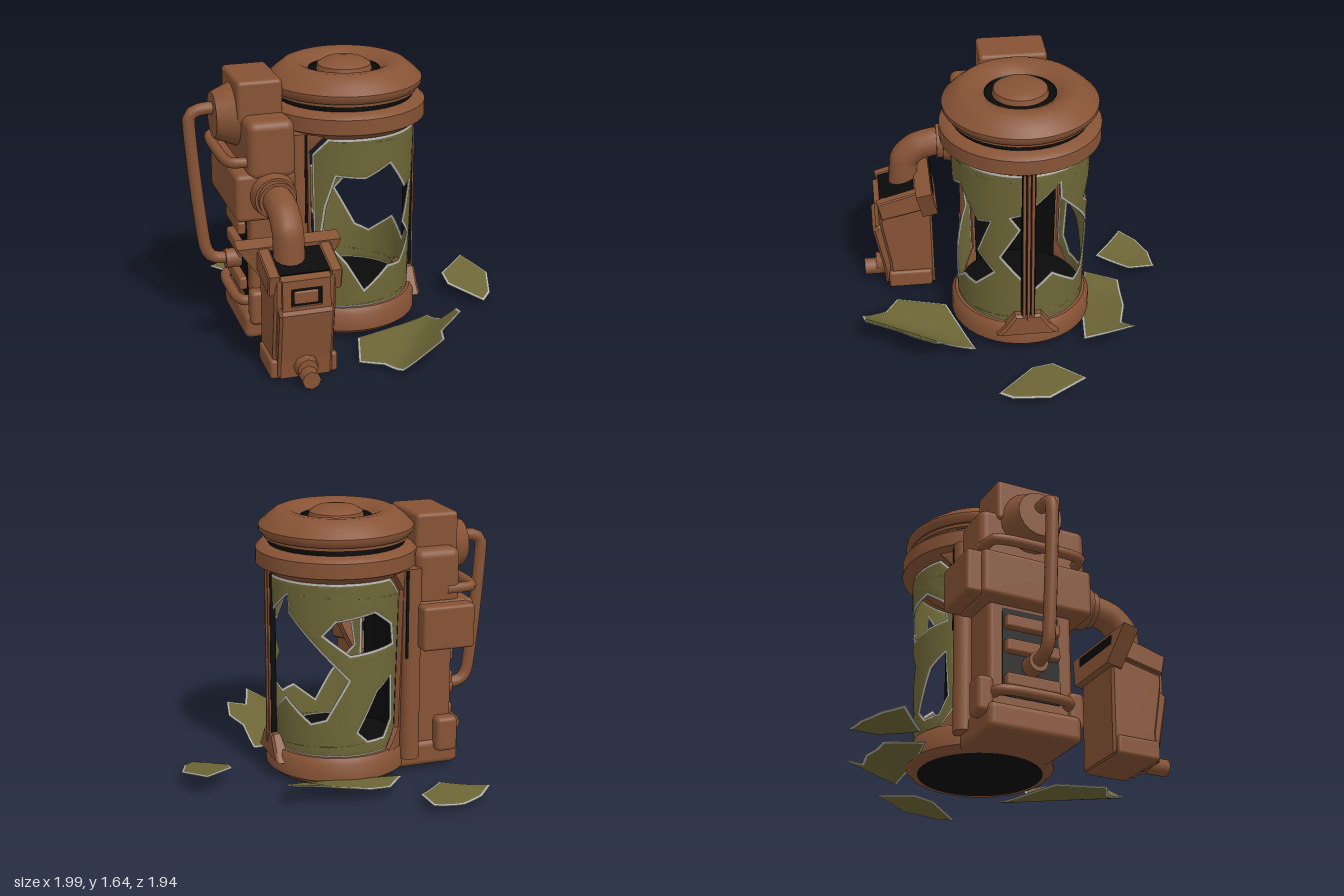
import * as THREE from 'three';
import { toCreasedNormals } from 'three/addons/utils/BufferGeometryUtils.js';
import { RoundedBoxGeometry } from 'three/addons/geometries/RoundedBoxGeometry.js';

const CX = -0.01, CZ = -0.04;      // tank axis
const S = 0.4 * Math.PI / 180;     // arc length of one degree on the tank wall

export function createModel() {
  const model = new THREE.Group();
  model.name = 'brokenTank';
  const mat = (name, color) => {
    const m = new THREE.MeshStandardMaterial({ color });
    m.name = name;
    return m;
  };
  const rust = mat('rust', 0x875335);
  const glass = mat('olive glass', 0x6e6737);
  const edge = mat('pale broken edge', 0xb0b0ae);
  const black = mat('black', 0x0a0a0a);

  const add = (name, geo, material = rust, x = 0, y = 0, z = 0) => {
    const m = new THREE.Mesh(geo, material);
    m.name = name;
    m.position.set(x, y, z);
    model.add(m);
    return m;
  };
  const shapeOf = (pts) => new THREE.Shape(pts.map((p) => new THREE.Vector2(p[0], p[1])));

  // box given by its limits, rounded when r > 0
  const box = (name, x0, x1, y0, y1, z0, z1, r = 0.03, material = rust) => {
    const s = [x1 - x0, y1 - y0, z1 - z0];
    const g = r ? new RoundedBoxGeometry(...s, 3, r) : new THREE.BoxGeometry(...s);
    return add(name, g, material, (x0 + x1) / 2, (y0 + y1) / 2, (z0 + z1) / 2);
  };
  const lathe = (name, pts, material = rust) => add(name,
    toCreasedNormals(new THREE.LatheGeometry(pts.map((p) => new THREE.Vector2(p[0], p[1])), 40).toNonIndexed(), 0.75),
    material, CX, 0, CZ);
  const pipe = (name, pts, r) => add(name, new THREE.TubeGeometry(
    new THREE.CatmullRomCurve3(pts.map((p) => new THREE.Vector3(...p)), false, 'catmullrom', 0.3), 32, r, 14));
  const plug = (name, axis, r0, r1, len, x, y, z, sides = 18) => {
    const m = add(name, new THREE.CylinderGeometry(r0, r1, len, sides), rust, x, y, z);
    if (axis === 'x') m.rotation.z = Math.PI / 2;
    if (axis === 'z') m.rotation.x = Math.PI / 2;
    return m;
  };
  // side profile in (z, y), extruded across x
  const sideExtrude = (name, pts, x0, x1, bevel = 0.015) => {
    const g = new THREE.ExtrudeGeometry(shapeOf(pts), {
      depth: x1 - x0 - 2 * bevel, bevelThickness: bevel, bevelSize: bevel, bevelOffset: -bevel, bevelSegments: 1 });
    g.rotateY(-Math.PI / 2);
    return add(name, g, rust, x1 - bevel, 0, 0);
  };

  // thin sheet with pale bevelled rims, split finely and then bent by a rule
  const sheet = (name, outline, holes, bend, mats, depth = 0.004, rim = 0.013) => {
    const shape = shapeOf(outline);
    shape.holes = holes.map((h) => new THREE.Path(h.map((p) => new THREE.Vector2(p[0], p[1]))));
    const src = new THREE.ExtrudeGeometry(shape, { depth, bevelThickness: 0.004, bevelSize: rim, bevelOffset: -rim, bevelSegments: 1 });
    const p = src.attributes.position, out = [], geo = new THREE.BufferGeometry();
    const split = (a, b, c) => {
      const t = [a, b, c];
      const d = t.map((v, i) => v.distanceTo(t[(i + 1) % 3]));
      const i = d.indexOf(Math.max(...d));
      if (d[i] < 0.06) return t.forEach((v) => out.push(...bend(v.x, v.y, v.z)));
      const [u, v, w] = [t[i], t[(i + 1) % 3], t[(i + 2) % 3]];
      const m = u.clone().add(v).multiplyScalar(0.5);
      split(u, m, w);
      split(m, v, w);
    };
    for (const g of src.groups) {
      const start = out.length / 3;
      for (let i = g.start; i < g.start + g.count; i += 3)
        split(...[0, 1, 2].map((k) => new THREE.Vector3().fromBufferAttribute(p, i + k)));
      geo.addGroup(start, out.length / 3 - start, g.materialIndex);
    }
    geo.setAttribute('position', new THREE.Float32BufferAttribute(out, 3));
    return add(name, toCreasedNormals(geo, 0.4), mats);
  };

  // Tank wall: outlines in [degrees from the front towards +x, height]
  const deg = (pts) => pts.map(([a, y]) => [a * S, y]);
  const wrap = (s, y, w) => {
    const a = s / 0.4, r = 0.38 + 0.026 * y + w;
    return [CX + r * Math.sin(a), y, CZ + r * Math.cos(a)];
  };
  const frontHole = [[-36, 0.66], [-32, 0.84], [-23, 1.03], [1, 1.01], [24, 1.08], [45, 0.89], [57, 0.91],
    [43, 0.67], [59, 0.55], [40, 0.42], [24, 0.43], [1, 0.3], [-14, 0.48]];
  const sideHole = [[117, 1.17], [85, 0.98], [76, 0.96], [84, 0.88], [67, 0.67], [87, 0.5], [94, 0.43], [112, 0.54],
    [139, 0.4], [152, 0.43], [171, 0.67], [150, 0.83], [118, 1.06]];
  const backHole = [[151, 0.95], [161, 1.03], [194, 1.07], [212, 0.98], [215, 0.86], [173, 0.83]];
  const lowHole = [[214, 0.65], [199, 0.58], [181, 0.34], [190, 0.28], [207, 0.28], [216, 0.38]];
  sheet('brokenGlass',
    deg([[-30, 0.185], [210, 0.185], [224, 0.3], [224, 1.16], [210, 1.265], [-30, 1.265], [-44, 1.16], [-44, 0.3]]),
    [frontHole, sideHole, backHole, lowHole].map(deg), wrap, [glass, edge]);
  sheet('rearFrame',
    deg([[211, 0.16], [329, 0.16], [329, 0.18], [314, 0.3], [314, 1.17], [329, 1.29], [211, 1.29], [226, 1.17], [226, 0.3], [211, 0.18]]),
    [], wrap, [rust, rust], 0.03);
  // dark lining inside the rear frame, and the dark seam at its lower front corner
  sheet('darkArch', deg([[227, 0.19], [313, 0.19], [313, 0.85], [300, 0.97], [240, 0.97], [227, 0.85]]), [],
    (s, y, w) => wrap(s, y, w * 0.5 - 0.014), [black, black], 0.001);
  sheet('cornerSeam', deg([[313, 0.28], [326, 0.175], [330, 0.175], [314, 0.305]]), [],
    (s, y, w) => wrap(s, y, w * 0.3 + 0.036), [black, black], 0.001, 0.001);

  // Base and lid
  lathe('baseRing', [[0.33, 0.03], [0.36, 0.02], [0.4, 0.02], [0.435, 0.05], [0.435, 0.155], [0.41, 0.19], [0.33, 0.19]]);
  lathe('baseUnderside', [[0, 0.03], [0.37, 0.018]], black);
  lathe('tankFloor', [[0.38, 0.192], [0, 0.192]], black);
  lathe('lowerLidRing', [[0.36, 1.25], [0.41, 1.26], [0.45, 1.29], [0.485, 1.31], [0.485, 1.4], [0.46, 1.425], [0.39, 1.43]]);
  lathe('lidGroove', [[0.41, 1.42], [0.41, 1.465]], black);
  lathe('lidNeck', [[0.4, 1.455], [0.43, 1.46], [0.43, 1.49]]);
  lathe('upperLid', [[0.4, 1.475], [0.44, 1.48], [0.465, 1.51], [0.465, 1.535], [0.42, 1.58], [0.37, 1.62], [0.34, 1.63],
    [0.28, 1.625], [0.24, 1.605], [0.215, 1.585]]);
  lathe('lidRecess', [[0.225, 1.592], [0.21, 1.577], [0.15, 1.577]], black);
  lathe('lidDome', [[0.17, 1.57], [0.16, 1.61], [0.12, 1.635], [0.06, 1.645], [0, 1.645]]);
  lathe('lidCeiling', [[0, 1.265], [0.4, 1.265]]);

  // Side post in three rods, with its foot
  for (const k of [-1, 0, 1])
    box('sidePost', 0.39, 0.43 + (k ? 0 : 0.008), 0.2, 1.28, CZ + k * 0.026 - 0.009, CZ + k * 0.026 + 0.009, 0);
  box('postShadowGap', 0.385, 0.42, 0.2, 1.27, CZ - 0.041, CZ + 0.041, 0, black);
  sideExtrude('postFoot', [[0.15, 0.12], [0.1, 0.18], [0.04, 0.27], [-0.12, 0.27], [-0.18, 0.18], [-0.23, 0.12]], 0.33, 0.432);

  // Machine housing on the model's right
  box('housingBase', -0.72, -0.3, 0.02, 0.185, -0.32, 0.26, 0.04);
  box('housingLower', -0.67, -0.41, 0.15, 0.85, -0.3, 0.23, 0.03);
  box('housingMiddle', -0.77, -0.41, 0.8, 1.09, -0.38, 0.32, 0.03);
  box('housingUpper', -0.69, -0.41, 1.05, 1.4, -0.36, 0.33, 0.05);
  box('housingTop', -0.71, -0.44, 1.34, 1.6, -0.26, 0.16, 0.025);
  box('rearFlare', -0.74, -0.41, 0.81, 1.08, -0.47, -0.36, 0.02);
  for (const [z, dir] of [[-0.325, -1], [0.245, 1]]) {
    plug('cornerColumn', 'y', 0.06, 0.06, 1.2, -0.385, 0.7, z);
    box('columnSeam', -0.352, -0.336, 0.75, 1.29, z + dir * 0.046 - 0.005, z + dir * 0.046 + 0.005, 0, black);
    box('baseShoulder', -0.69, -0.55, 0.12, 0.34, z - 0.05, z + 0.05);
  }
  box('darkVent', -0.676, -0.66, 0.24, 0.78, -0.22, 0.14, 0, black);
  for (const y of [0.33, 0.54, 0.69])
    box('ventBar', -0.72, -0.66, y - 0.04, y + 0.04, -0.21, 0.13, 0.015);

  // Outer piping
  plug('upperPipeSocket', 'x', 0.14, 0.2, 0.14, -0.75, 1.36, CZ);
  plug('lowerPipeSocket', 'x', 0.06, 0.06, 0.12, -0.71, 0.44, CZ);
  pipe('bypassPipe', [[-0.74, 1.4, CZ], [-0.89, 1.4, CZ], [-0.96, 1.34, CZ], [-0.93, 0.9, CZ], [-0.89, 0.54, CZ], [-0.84, 0.46, CZ], [-0.7, 0.44, CZ]], 0.038);
  for (const [y, x, h] of [[1.15, -0.8, 0.28], [0.25, -0.74, 0.22]])
    pipe('curvedRail', [[-0.6, y, CZ - h - 0.02], [x + 0.03, y, CZ - h], [x, y, CZ - h * 0.6], [x, y, CZ + h * 0.6], [x + 0.03, y, CZ + h], [-0.6, y, CZ + h + 0.02]], 0.032);

  // Elbow to the front pump
  plug('elbowFlange', 'z', 0.125, 0.14, 0.1, -0.55, 0.96, 0.345);
  plug('elbowCollar', 'z', 0.11, 0.11, 0.05, -0.55, 0.96, 0.41);
  pipe('elbowPipe', [[-0.55, 0.96, 0.32], [-0.55, 0.96, 0.45], [-0.55, 0.93, 0.56], [-0.55, 0.85, 0.64], [-0.55, 0.66, 0.66]], 0.092);

  // Front pump
  sideExtrude('pumpBody', [[0.48, 0.02], [0.77, 0.02], [0.77, 0.19], [0.82, 0.48], [0.83, 0.64], [0.49, 0.73]], -0.68, -0.32);
  sideExtrude('pumpFrontPlate', [[0.7, 0.02], [0.8, 0.02], [0.81, 0.13], [0.87, 0.44], [0.83, 0.47], [0.7, 0.47]], -0.66, -0.34);
  const wings = shapeOf([[-0.83, 0.77], [-0.69, 0.56], [-0.31, 0.56], [-0.22, 0.77]]);
  const wing = add('pumpWings', new THREE.ExtrudeGeometry(wings, { depth: 0.1, bevelEnabled: false }));
  wing.geometry.translate(0, -0.77, 0).rotateX(0.2);
  wing.position.set(0, 0.77, 0.49);
  box('wingShadow', -0.7, -0.33, 0.62, 0.74, 0.472, 0.488, 0, black);
  for (const x of [-0.68, -0.32])
    sideExtrude('pumpRail', [[0.5, 0.62], [0.81, 0.55], [0.835, 0.67], [0.5, 0.765]], x - 0.035, x + 0.035, 0.008);
  const mouth = box('pumpMouth', -0.645, -0.355, 0.692, 0.7, 0.59, 0.82, 0, black);
  mouth.rotation.x = 0.26;
  const frame = shapeOf([[-0.64, 0.46], [-0.36, 0.46], [-0.36, 0.64], [-0.64, 0.64]]);
  frame.holes.push(new THREE.Path([[-0.59, 0.48], [-0.41, 0.48], [-0.41, 0.59], [-0.59, 0.59]].map((p) => new THREE.Vector2(...p))));
  add('pumpHandle', new THREE.ExtrudeGeometry(frame, { depth: 0.025, bevelEnabled: false }), rust, 0, 0, 0.825);
  box('handleSlot', -0.59, -0.41, 0.48, 0.59, 0.825, 0.833, 0, black);
  box('handleLatch', -0.57, -0.43, 0.492, 0.57, 0.82, 0.845, 0.01);
  box('pumpFoot', -0.7, -0.3, 0.01, 0.13, 0.5, 0.78, 0.02);
  plug('pumpNozzleCollar', 'z', 0.06, 0.08, 0.08, -0.5, 0.09, 0.82, 8);
  plug('pumpNozzle', 'z', 0.055, 0.055, 0.14, -0.5, 0.055, 0.865, 8);

  // Fallen glass: outlines in [x, z] and a height rule
  const softRise = (t) => 0.5 * (t + Math.sqrt(t * t + 0.003));
  const shards = [
    [[[-0.07, 0.43], [0.43, 0.28], [0.44, 0.5], [0.525, 0.53], [0.5, 0.67], [0.35, 0.76], [0.29, 0.95], [0.03, 0.97], [-0.03, 0.82], [-0.16, 0.74]],
      (x, z) => 0.015 + softRise(0.14 + 0.7 * (x - 0.35) + 0.45 * (z - 0.76))],
    [[[-0.27, -0.5], [-0.12, -0.7], [0.2, -0.68], [0.385, -0.63], [0.485, -0.7], [0.42, -0.39], [0.1, -0.42]],
      (x, z) => 0.04 + Math.max(0, -z - 0.38) * (0.12 + 0.6 * Math.max(0, x))],
    [[[0.69, -0.155], [0.89, -0.33], [0.99, -0.1], [0.925, 0.11], [0.85, 0.19], [0.685, -0.03]],
      (x, z) => 0.03 + 0.2 * (0.19 - z)],
    [[[-0.71, -0.81], [-0.61, -0.91], [-0.47, -0.97], [-0.28, -0.97], [-0.27, -0.8], [-0.47, -0.61]],
      (x) => 0.03 + 0.5 * (x + 0.48) ** 2],
  ];
  for (const [pts, height] of shards)
    sheet('fallenShard', pts.map(([x, z]) => [x, -z]), [], (u, v, w) => [u, height(u, -v) + w, -v], [glass, edge]);

  return model;
}
